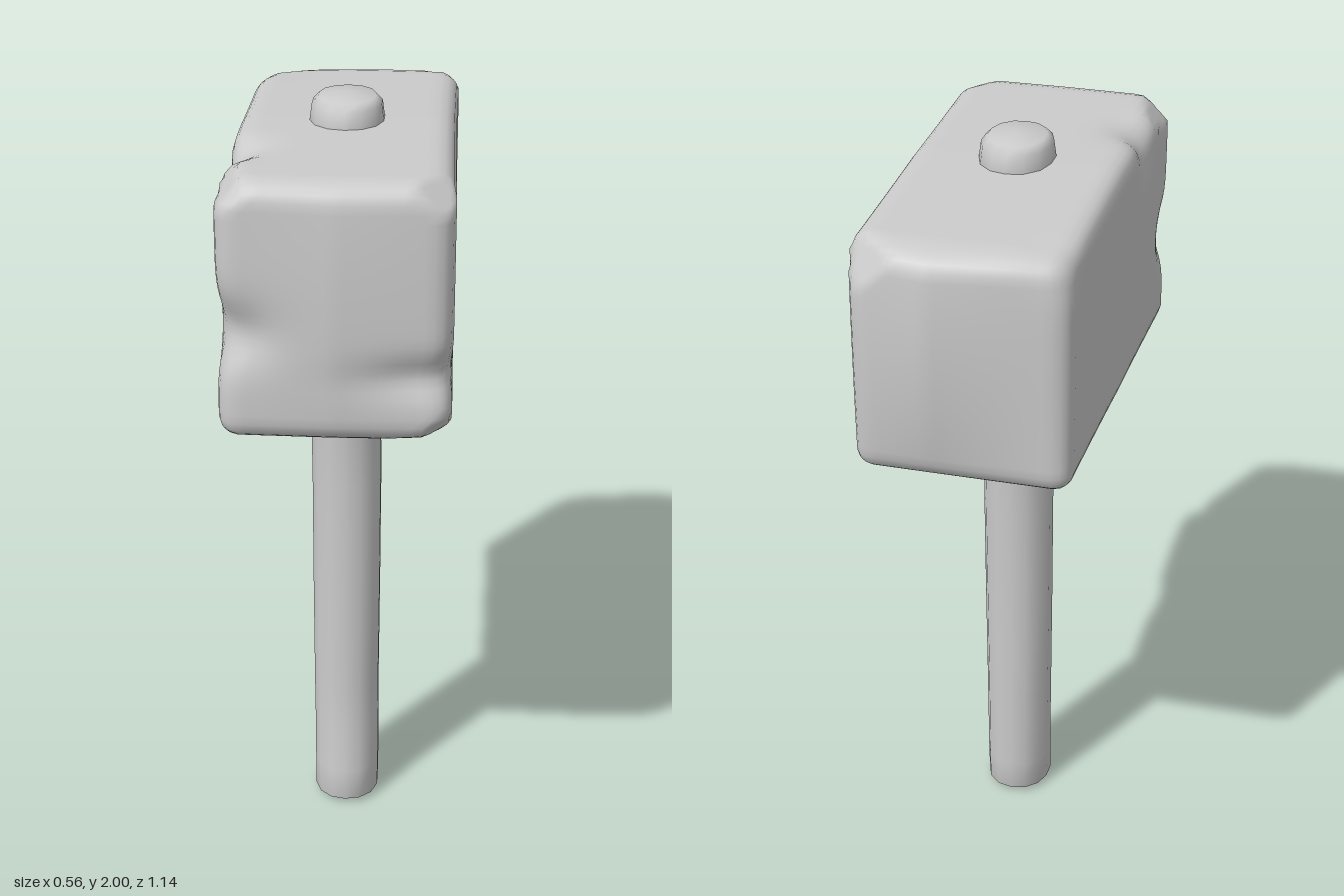
import * as THREE from 'three';
import { mergeVertices } from 'three/addons/utils/BufferGeometryUtils.js';

const V = (x, y, z) => new THREE.Vector3(x, y, z);

// Worn places: centre, radius on each axis, push
const DENTS = [
  [V(-0.28, 1.56, 0.56), V(0.12, 0.08, 0.10), V(0.035, 0, -0.035)],
  [V(-0.28, 1.94, 0.27), V(0.08, 0.10, 0.08), V(0.02, -0.035, 0)],
  [V(0.26, 1.46, 0.57), V(0.18, 0.05, 0.10), V(-0.015, 0, -0.03)],
  [V(0.28, 1.29, 0.0), V(0.07, 0.06, 0.10), V(-0.02, 0.035, 0)],
  [V(0.28, 1.29, 0.46), V(0.10, 0.04, 0.06), V(-0.01, 0.02, 0)],
  [V(-0.27, 1.92, -0.5), V(0.10, 0.08, 0.08), V(0.015, -0.01, 0.01)],
];

// Chipped corners: outward normal and a point on the cutting plane
const CHIPS = [
  [V(0.55, 0.75, 0.45), V(0.22, 1.92, 0.49)],
  [V(-0.75, 0.65, 0.12), V(-0.235, 1.92, 0.45)],
  [V(-0.5, 0.6, 0.6), V(-0.23, 1.91, 0.51)],
  [V(0.5, 0.45, -0.75), V(0.23, 1.88, -0.5)],
  [V(0.5, -0.6, 0.6), V(0.24, 1.32, 0.51)],
].map(([n, p]) => [n.normalize(), p]);

function headGeometry() {
  const hx = 0.275, hy = 0.322, hz = 0.525, r = 0.05;
  let geo = new THREE.BoxGeometry(2 * hx, 2 * hy, 2 * hz, 24, 28, 44);
  geo.deleteAttribute('uv');
  geo.deleteAttribute('normal');
  geo = mergeVertices(geo, 1e-4);
  const pos = geo.attributes.position, p = V(), q = V();
  const inner = V(hx - r, hy - r, hz - r), outer = inner.clone().negate();
  for (let i = 0; i < pos.count; i++) {
    p.fromBufferAttribute(pos, i);
    // round the edges
    q.copy(p).clamp(outer, inner);
    p.sub(q).setLength(r).add(q);
    const t = p.z / hz;
    // peaked striking faces
    const cx = t > 0 ? 0 : 0.07;
    const cy = t > 0 ? 0 : 0.1;
    const bulge = Math.max(0, 1 - Math.abs(p.x - cx) / 0.33) * Math.max(0, 1 - ((p.y - cy) / 0.42) ** 2);
    const end = Math.max(0, (Math.abs(t) - 0.9) / 0.1);
    p.z += t > 0 ? 0.014 * t + 0.026 * bulge * end : -0.05 * bulge * end;
    // slight taper to the back, flared front
    p.x *= 0.985 + 0.02 * t + 0.015 * t * t;
    p.y = 1.612 + p.y * (t < 0 ? 1 + 0.06 * t : 1);
    // dents, then chipped corners
    for (const [c, s, push] of DENTS) {
      q.copy(p).sub(c).divide(s);
      p.addScaledVector(push, Math.exp(-q.lengthSq()));
    }
    for (const [n, c] of CHIPS) {
      const d = q.copy(p).sub(c).dot(n);
      if (d > 0) p.addScaledVector(n, -d);
    }
    pos.setXYZ(i, p.x, p.y, p.z);
  }
  geo.computeVertexNormals();
  return geo;
}

// Oval cross-sections: y, centre x, half width, back z, front z
const SECTIONS = [
  [0.00, 0.002, 0.070, -0.030, 0.135],
  [0.015, 0.002, 0.087, -0.050, 0.157],
  [0.10, 0.002, 0.088, -0.052, 0.150],
  [0.22, 0.001, 0.088, -0.054, 0.136],
  [0.36, 0.000, 0.089, -0.056, 0.127],
  [0.65, 0.000, 0.091, -0.060, 0.122],
  [0.95, 0.000, 0.092, -0.066, 0.118],
  [1.15, -0.002, 0.092, -0.076, 0.125],
  [1.30, -0.002, 0.092, -0.085, 0.136],
  [1.93, 0.000, 0.094, -0.098, 0.124],
  [1.975, 0.000, 0.088, -0.092, 0.117],
  [1.992, 0.000, 0.072, -0.075, 0.098],
];

function handleGeometry(sides = 14) {
  const verts = [], index = [], n = SECTIONS.length;
  for (const [y, cx, w, z0, z1] of SECTIONS) {
    for (let i = 0; i < sides; i++) {
      const a = (i / sides) * Math.PI * 2;
      // slightly squared oval
      const k = 1 + 0.03 * Math.sin(2 * a) ** 2;
      verts.push(cx + Math.sin(a) * w * k, y, (z0 + z1) / 2 + Math.cos(a) * ((z1 - z0) / 2) * k);
    }
  }
  verts.push(0, 0, 0.052, 0, 2, 0.012);
  const bottom = n * sides, top = bottom + 1, last = (n - 1) * sides;
  for (let i = 0; i < sides; i++) {
    const j = (i + 1) % sides;
    for (let k = 0; k < n - 1; k++) {
      const a = k * sides + i, b = k * sides + j;
      index.push(a, b, b + sides, a, b + sides, a + sides);
    }
    index.push(bottom, j, i, top, last + i, last + j);
  }
  const geo = new THREE.BufferGeometry();
  geo.setAttribute('position', new THREE.Float32BufferAttribute(verts, 3));
  geo.setIndex(index);
  geo.computeVertexNormals();
  return geo;
}

export function createModel() {
  const group = new THREE.Group();
  group.name = 'mallet';
  const material = new THREE.MeshStandardMaterial({ color: 0xcccccc });
  const add = (name, geo) => {
    const mesh = new THREE.Mesh(geo, material);
    mesh.name = name;
    group.add(mesh);
  };
  add('head', headGeometry());
  add('handle', handleGeometry());
  return group;
}
